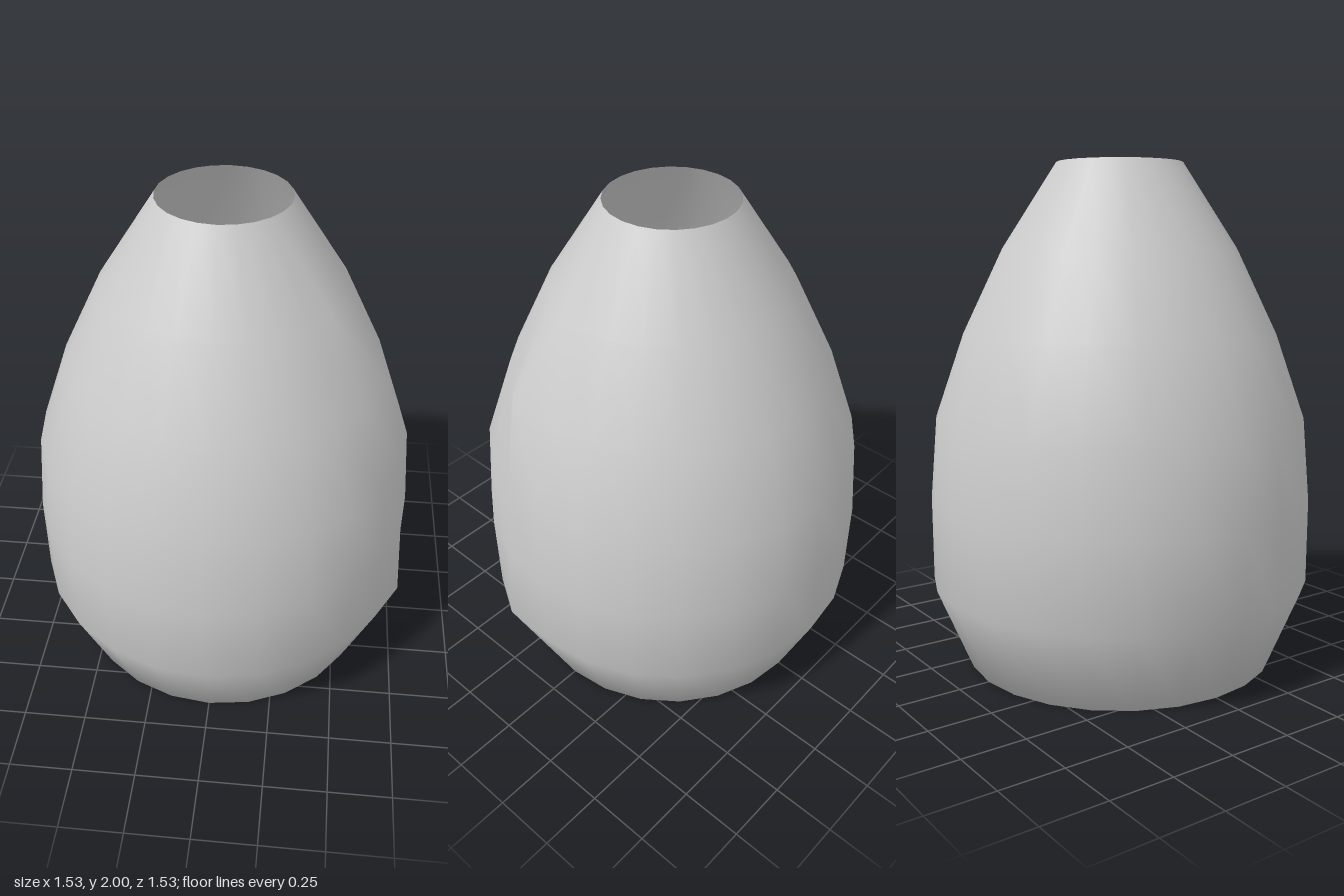
import * as THREE from 'three';
import { mergeVertices } from 'three/addons/utils/BufferGeometryUtils.js';

export function createModel() {
  const group = new THREE.Group();
  group.name = 'vase';
  const lightGrey = new THREE.MeshStandardMaterial({ color: 0xcccccc, side: THREE.DoubleSide });
  lightGrey.name = 'light grey';

  // Thin wall, closed floor and open mouth, as [radius, height]
  const profile = [
    [0, 0], [0.625, 0], [0.765, 0.333], [0.767, 0.667],
    [0.74, 1], [0.625, 1.333], [0.465, 1.667], [0.25, 2],
  ].map(([r, y]) => new THREE.Vector2(r, y));
  const lathe = new THREE.LatheGeometry(profile, 24);

  // Weld the seam so the wall and floor share smooth normals
  lathe.deleteAttribute('normal');
  lathe.deleteAttribute('uv');
  const geometry = mergeVertices(lathe, 1e-4);

  // Two small dents pushed outward on the left side
  const position = geometry.attributes.position;
  const pull = (target) => {
    const p = new THREE.Vector3();
    let best = 0, bestDistance = Infinity;
    for (let i = 0; i < position.count; i++) {
      const d = p.fromBufferAttribute(position, i).distanceTo(target);
      if (d < bestDistance) { bestDistance = d; best = i; }
    }
    position.setXYZ(best, target.x, target.y, target.z);
  };
  pull(new THREE.Vector3(0.64, 1.36, 0.2));
  pull(new THREE.Vector3(0.76, 0.333, 0.21));
  geometry.computeVertexNormals();

  const body = new THREE.Mesh(geometry, lightGrey);
  body.name = 'vaseBody';
  group.add(body);
  return group;
}
